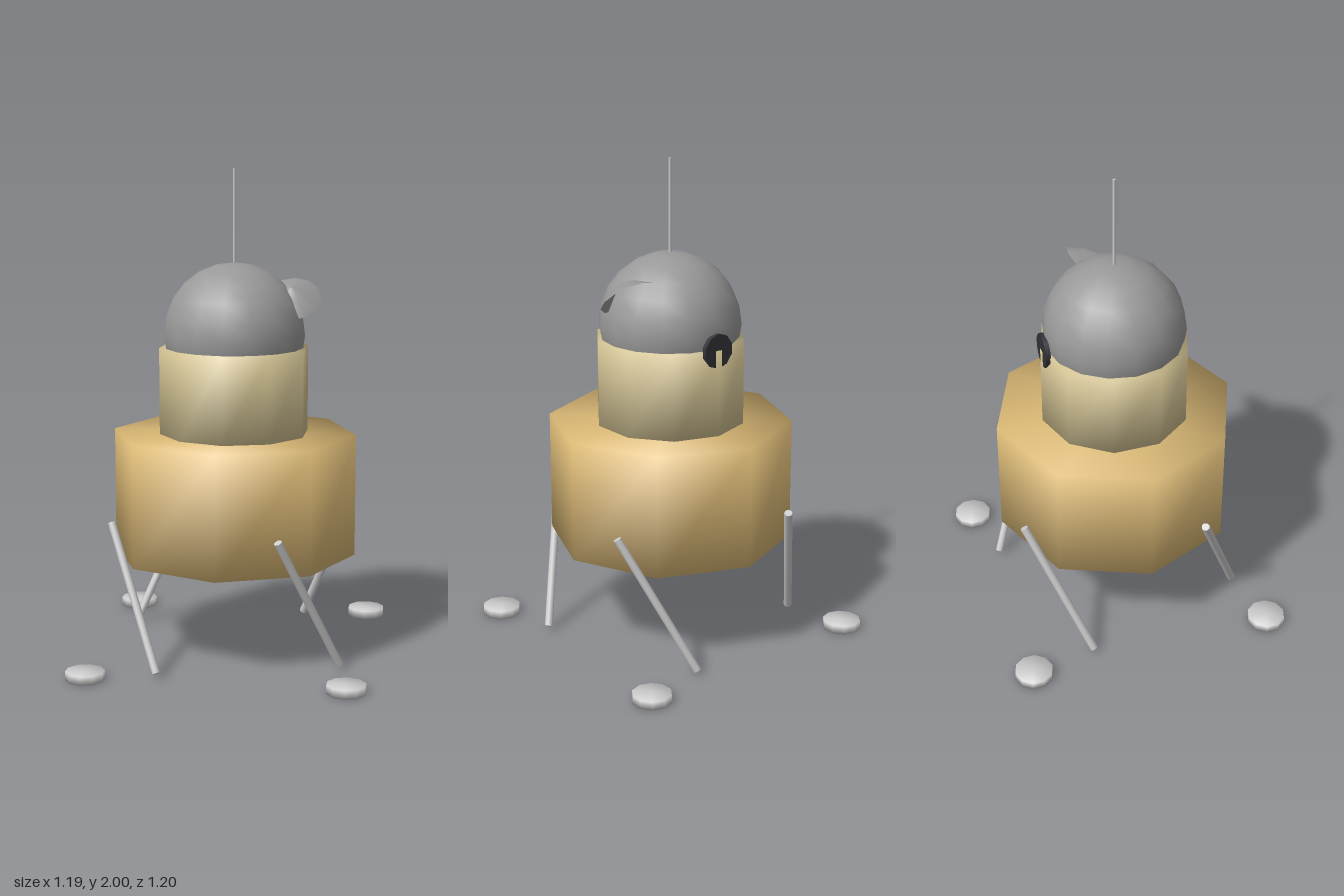
import * as THREE from 'three';
import { mergeVertices } from 'three/addons/utils/BufferGeometryUtils.js';

const material = (color, side = THREE.FrontSide) => new THREE.MeshStandardMaterial({ color, side });
const grey = material(0xcccccc);
const gold = material(0xddbb77);
const cream = material(0xd4c494);
const domeGrey = material(0x999999);
const dark = material(0x333338);

// Shares corners between sides and caps so the shading runs softly over the edges
function soften(geometry) {
  geometry.deleteAttribute('uv');
  geometry.deleteAttribute('normal');
  const merged = mergeVertices(geometry);
  merged.computeVertexNormals();
  return merged;
}

function add(parent, name, geometry, mat, x = 0, y = 0, z = 0) {
  const mesh = new THREE.Mesh(geometry, mat);
  mesh.name = name;
  mesh.position.set(x, y, z);
  parent.add(mesh);
  return mesh;
}

const prism = (radius, height, sides) => soften(new THREE.CylinderGeometry(radius, radius, height, sides));

export function createModel() {
  const model = new THREE.Group();
  model.name = 'lander';

  // Stacked hull
  add(model, 'descentStage', prism(0.505, 0.505, 8), gold, 0, 0.6675, 0);
  add(model, 'ascentStage', prism(0.31, 0.355, 10), cream, 0, 1.0975, 0);
  add(model, 'dome', new THREE.SphereGeometry(0.292, 16, 12), domeGrey, 0, 1.329, 0);
  add(model, 'antenna', new THREE.CylinderGeometry(0.006, 0.006, 0.4, 6), grey, 0, 1.8, 0);

  // Round hatch, partly sunk into the rear corner of the upper stage
  const hatch = add(model, 'hatch', new THREE.CylinderGeometry(0.071, 0.071, 0.02, 10), dark, 0, 1.272, -0.295);
  hatch.rotation.x = Math.PI / 2;

  // Shallow dish on the side of the dome, bulging up and forward
  const profile = [[0.119, 0], [0.062, 0.044], [0, 0.067]].map(([r, y]) => new THREE.Vector2(r, y));
  const dish = add(model, 'dish', new THREE.LatheGeometry(profile, 12),
    material(0x999999, THREE.DoubleSide), 0.236, 1.473, -0.027);
  dish.rotation.x = Math.atan2(0.65, 0.76);

  // Four slanted struts and loose foot pads, turned around the hull
  const top = new THREE.Vector3(-0.468, 0.575, 0.243);
  const bottom = new THREE.Vector3(-0.243, 0.02, 0.468);
  const along = top.clone().sub(bottom);
  const legGeometry = new THREE.CylinderGeometry(0.017, 0.017, along.length(), 8);
  const footGeometry = prism(0.08, 0.035, 10);
  for (let i = 0; i < 4; i++) {
    const pivot = new THREE.Group();
    pivot.name = 'legTurn' + (i + 1);
    pivot.rotation.y = i * Math.PI / 2;
    const middle = top.clone().add(bottom).multiplyScalar(0.5);
    const leg = add(pivot, 'leg', legGeometry, grey, middle.x, middle.y, middle.z);
    leg.quaternion.setFromUnitVectors(new THREE.Vector3(0, 1, 0), along.clone().normalize());
    model.add(pivot);
    const sx = i % 2 ? 1 : -1;
    const sz = i < 2 ? 1 : -1;
    add(model, 'footPad', footGeometry, grey, 0.52 * sx, 0.0185, 0.522 * sz);
  }
  return model;
}
